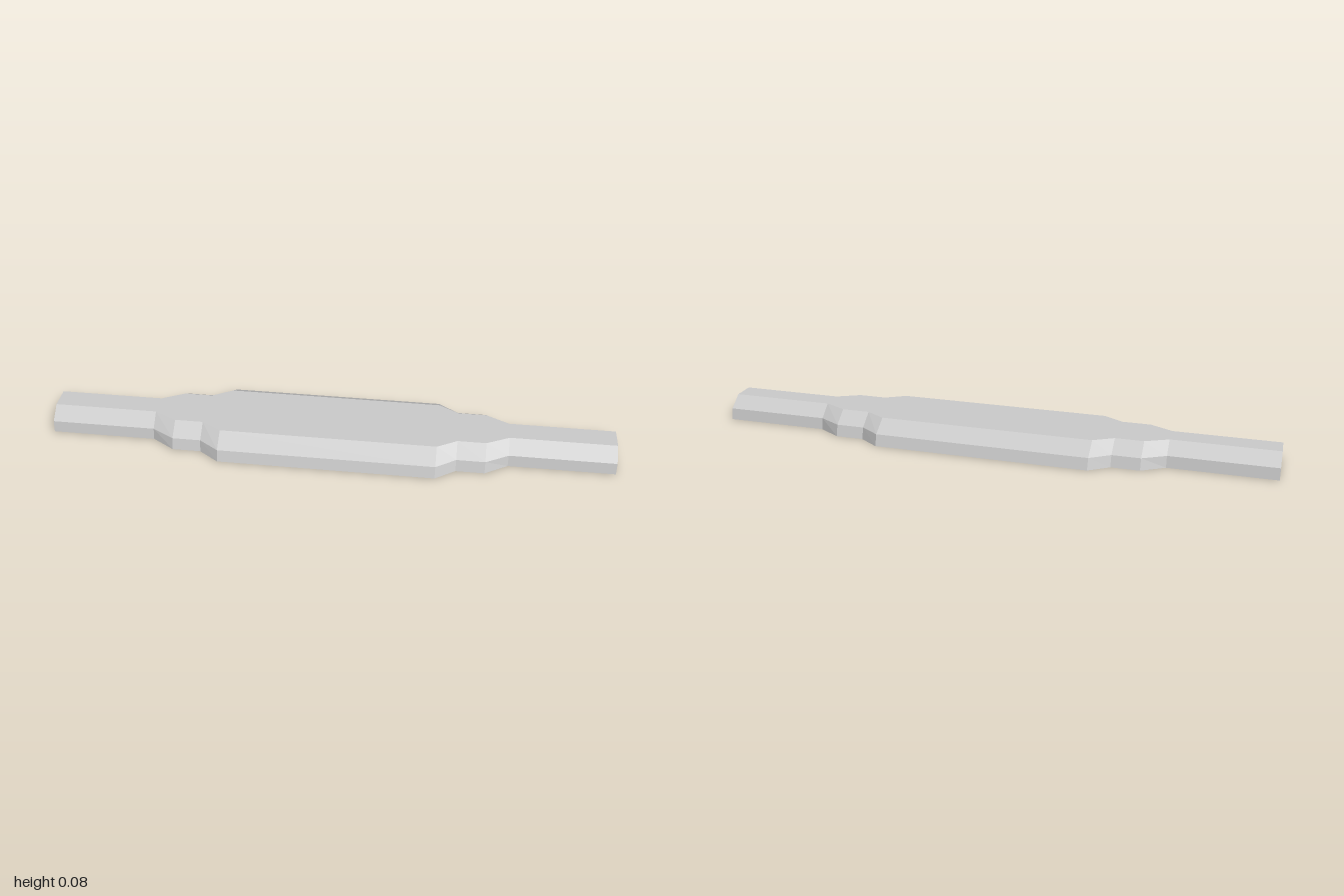
import * as THREE from 'three';

// half widths at the base, the shoulder and the flat top
const NARROW = [0.098, 0.09, 0.04];
const MIDDLE = [0.147, 0.135, 0.08];
const WIDE = [0.195, 0.182, 0.12];
const HEIGHTS = [0, 0.04, 0.08];

// stations along one half, from the centre out to the tip
const HALF = [[0.38, WIDE], [0.45, MIDDLE], [0.55, MIDDLE], [0.63, NARROW], [1, NARROW]];

// closed cross-section, counter-clockwise seen from +x
function section([x, widths]) {
  const back = widths.map((w, i) => [x, HEIGHTS[i], -w]);
  const front = widths.map((w, i) => [x, HEIGHTS[i], w]).reverse();
  return [...back, ...front];
}

function loft(rings) {
  const pos = [];
  const tri = (...pts) => pts.forEach((p) => pos.push(...p));
  const n = rings[0].length;
  // skin between neighbouring sections
  for (let i = 0; i < rings.length - 1; i++) {
    for (let k = 0; k < n; k++) {
      const j = (k + 1) % n;
      const a = rings[i][k], b = rings[i][j], c = rings[i + 1][j], d = rings[i + 1][k];
      tri(a, b, c);
      tri(a, c, d);
    }
  }
  // end caps
  const first = rings[0], last = rings[rings.length - 1];
  for (let k = 1; k < n - 1; k++) {
    tri(last[0], last[k], last[k + 1]);
    tri(first[0], first[k + 1], first[k]);
  }
  const geo = new THREE.BufferGeometry();
  geo.setAttribute('position', new THREE.Float32BufferAttribute(pos, 3));
  geo.computeVertexNormals();
  return geo;
}

export function createModel() {
  const group = new THREE.Group();
  group.name = 'steppedBar';
  const mirrored = HALF.map(([x, w]) => [-x, w]).reverse();
  const body = new THREE.Mesh(
    loft([...mirrored, ...HALF].map(section)),
    new THREE.MeshStandardMaterial({ color: 0xcccccc, flatShading: true })
  );
  body.name = 'barBody';
  group.add(body);
  return group;
}
